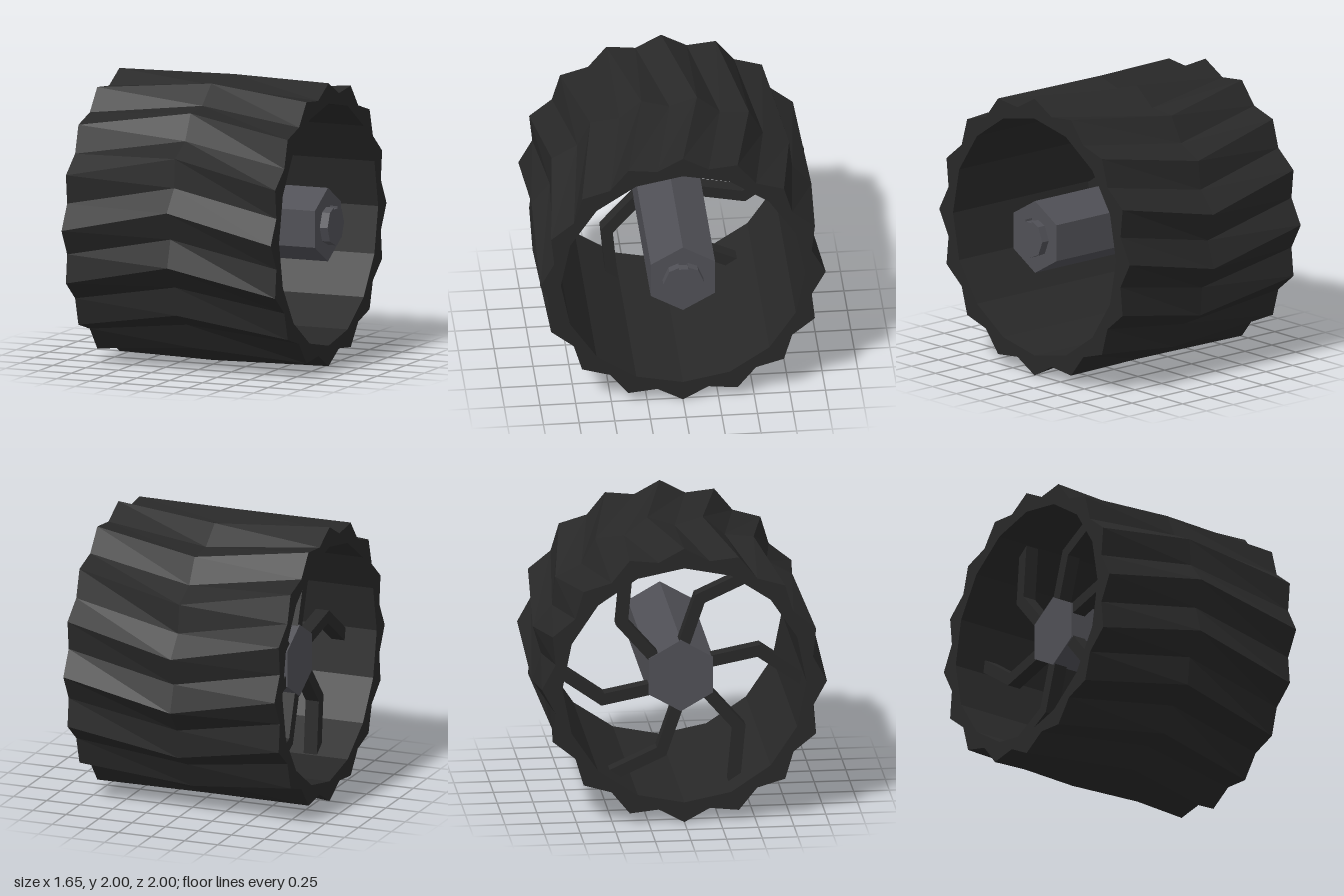
import * as THREE from 'three';

const rubber = new THREE.MeshStandardMaterial({ color: 0x282828 });
rubber.name = 'dark rubber';
const steel = new THREE.MeshStandardMaterial({ color: 0x505056 });
steel.name = 'grey steel';

const polar = (r, degrees) => {
  const t = THREE.MathUtils.degToRad(degrees);
  return new THREE.Vector2(r * Math.cos(t), r * Math.sin(t));
};

// Extrudes an outline along the axle (x) between two positions
function alongAxle(name, points, x0, x1, material) {
  const geometry = new THREE.ExtrudeGeometry(new THREE.Shape(points), { depth: x1 - x0, bevelEnabled: false });
  geometry.rotateY(Math.PI / 2).translate(x0, 0, 0);
  const mesh = new THREE.Mesh(geometry, material);
  mesh.name = name;
  return mesh;
}

const polygon = (r, sides, start) =>
  Array.from({ length: sides }, (_, i) => polar(r, start + (i * 360) / sides));

// Tyre: a closed loop of toothed rings, the middle one turned to make a chevron tread
function makeTyre() {
  const teeth = 16, n = teeth * 2, step = 360 / n;
  const inner = 0.856, flat = inner * Math.cos(Math.PI / teeth);
  // x, turn in degrees, peak radius, valley radius
  const rings = [
    [-0.825, 0, 1, 0.92],
    [-0.03, -10.1, 1, 0.92],
    [0.77, 0, 1, 0.92],
    [0.77, 0, inner, flat],
    [-0.825, 0, inner, flat],
  ];
  const positions = [], index = [];
  for (const [x, turn, peak, valley] of rings) {
    for (let i = 0; i < n; i++) {
      const p = polar(i % 2 ? valley : peak, i * step + turn);
      positions.push(x, p.y, -p.x);
    }
  }
  for (let k = 0; k < rings.length; k++) {
    for (let i = 0; i < n; i++) {
      const j = (i + 1) % n, next = ((k + 1) % rings.length) * n;
      const a = k * n + i, b = k * n + j, c = next + j, d = next + i;
      index.push(a, b, c, a, c, d);
    }
  }
  let geometry = new THREE.BufferGeometry();
  geometry.setAttribute('position', new THREE.Float32BufferAttribute(positions, 3));
  geometry.setIndex(index);
  geometry = geometry.toNonIndexed();
  geometry.computeVertexNormals();
  const mesh = new THREE.Mesh(geometry, rubber);
  mesh.name = 'tyre';
  return mesh;
}

// Outline of one bent spoke, mitred at the knee
function spokeOutline(turn, halfWidth) {
  const path = [polar(0.19, 93 + turn), polar(0.57, 103.7 + turn), polar(0.885, 125 + turn)];
  const normal = (a, b) => {
    const d = b.clone().sub(a).normalize();
    return new THREE.Vector2(-d.y, d.x);
  };
  const n1 = normal(path[0], path[1]), n2 = normal(path[1], path[2]);
  const mitre = n1.clone().add(n2).divideScalar(1 + n1.dot(n2));
  const offsets = [n1, mitre, n2];
  const side = (s) => path.map((p, i) => p.clone().addScaledVector(offsets[i], s * halfWidth));
  return [...side(-1), ...side(1).reverse()];
}

export function createModel() {
  const wheel = new THREE.Group();
  wheel.name = 'wheel';
  wheel.add(makeTyre());

  // Six bent spokes near the far end of the hub
  const spokes = new THREE.Group();
  spokes.name = 'spokes';
  for (let i = 0; i < 6; i++) {
    spokes.add(alongAxle('spoke', spokeOutline(i * 60, 0.041), -0.59, -0.49, rubber));
  }
  wheel.add(spokes);

  // Hexagonal hub
  wheel.add(alongAxle('hub', polygon(0.26, 6, 90), -0.6, 0.765, steel));

  // Eight-sided axle end with a keyway in its top corner
  const corners = polygon(0.143, 8, 90);
  const keyway = [[0.032, 0.13], [0.032, 0.115], [-0.032, 0.115], [-0.032, 0.13]]
    .map(([a, b]) => new THREE.Vector2(a, b));
  const axle = [...corners.slice(1), ...keyway];
  wheel.add(alongAxle('axleEnd', axle, 0.74, 0.825, steel));

  wheel.position.y = 1;
  const model = new THREE.Group();
  model.name = 'wheelModel';
  model.add(wheel);
  return model;
}
